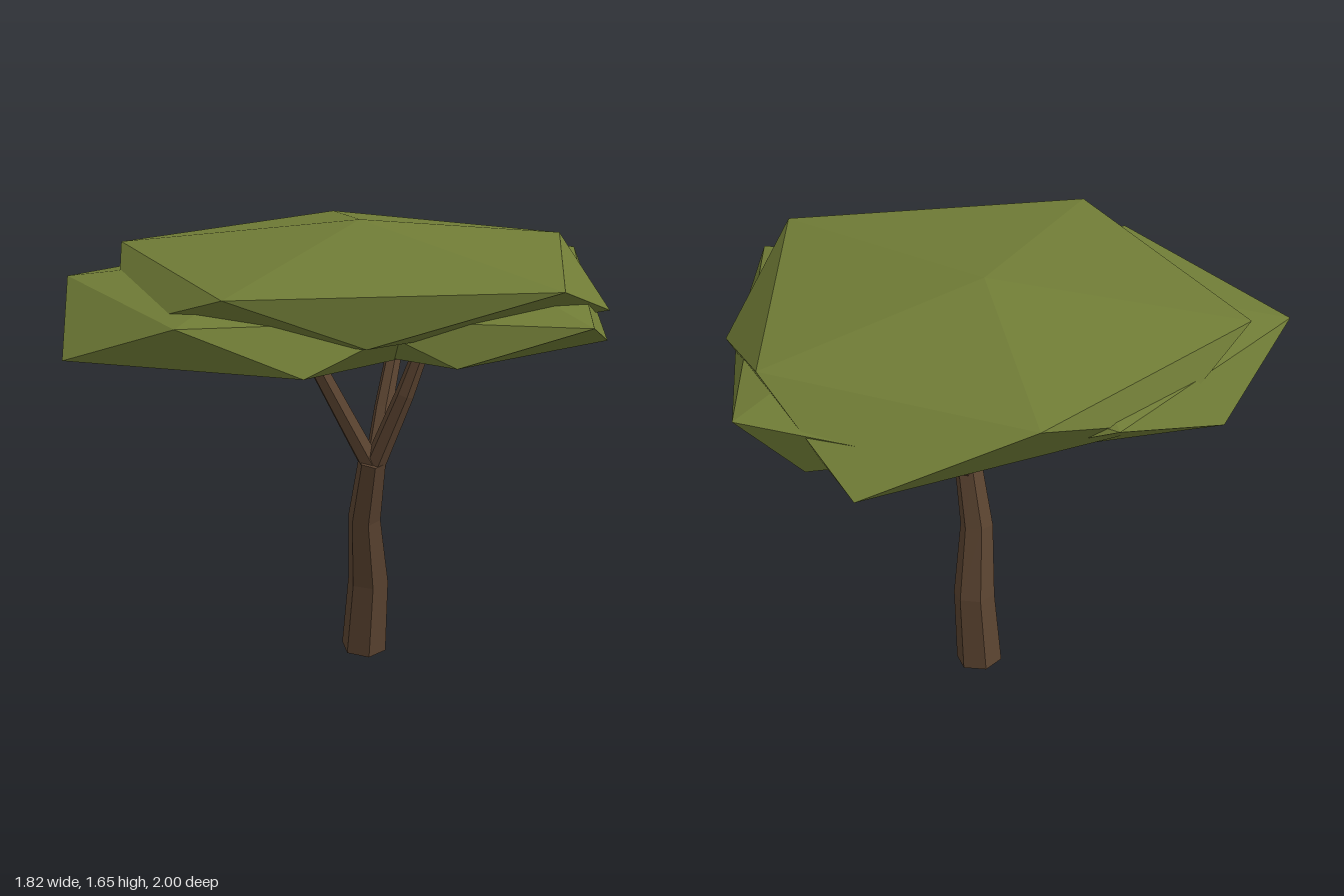
import * as THREE from 'three';

const bark = new THREE.MeshStandardMaterial({ name: 'bark', color: 0x5a4330, flatShading: true });
const foliage = new THREE.MeshStandardMaterial({ name: 'foliage', color: 0x707c36, flatShading: true });

// Six-sided limb: a cylinder whose rows follow stations [x, y, z, radius]
function limb(name, stations) {
  const n = stations.length - 1;
  const pts = stations.map((s) => new THREE.Vector3(s[0], s[1], s[2]));
  const up = new THREE.Vector3(0, 1, 0);
  const turns = pts.map((p, i) => {
    const dir = pts[Math.min(i + 1, n)].clone().sub(pts[Math.max(i - 1, 0)]).normalize();
    return new THREE.Quaternion().setFromUnitVectors(up, dir);
  });
  const geo = new THREE.CylinderGeometry(1, 1, 1, 6, n);
  const pos = geo.attributes.position;
  const v = new THREE.Vector3();
  for (let i = 0; i < pos.count; i++) {
    const row = Math.round((pos.getY(i) + 0.5) * n);
    v.set(pos.getX(i), 0, pos.getZ(i)).multiplyScalar(stations[row][3]);
    v.applyQuaternion(turns[row]).add(pts[row]);
    pos.setXYZ(i, v.x, v.y, v.z);
  }
  geo.computeVertexNormals();
  const mesh = new THREE.Mesh(geo, bark);
  mesh.name = name;
  return mesh;
}

// Flattened twenty-faced clump: top point, upper ring, lower ring, bottom point
function clump(name, top, upper, lower, bottom) {
  const corners = [];
  for (let i = 0; i < 5; i++) {
    const j = (i + 1) % 5;
    corners.push(top, upper[j], upper[i]);
    corners.push(upper[i], upper[j], lower[i]);
    corners.push(lower[i], upper[j], lower[j]);
    corners.push(bottom, lower[i], lower[j]);
  }
  const geo = new THREE.BufferGeometry();
  geo.setAttribute('position', new THREE.Float32BufferAttribute(corners.flat(), 3));
  geo.computeVertexNormals();
  const mesh = new THREE.Mesh(geo, foliage);
  mesh.name = name;
  return mesh;
}

export function createModel() {
  const tree = new THREE.Group();
  tree.name = 'tree';

  // Leaning trunk
  tree.add(limb('trunk', [
    [-0.108, 0.01, -0.065, 0.086],
    [-0.073, 0.3, -0.055, 0.077],
    [-0.035, 0.57, 0.0, 0.061],
    [0.032, 0.81, 0.025, 0.051],
  ]));

  // Three forking branches
  tree.add(limb('frontBranch', [
    [0.03, 0.78, 0.02, 0.04], [-0.04, 0.97, 0.09, 0.036], [-0.14, 1.26, 0.2, 0.03],
  ]));
  tree.add(limb('leftBranch', [
    [0.03, 0.78, 0.02, 0.04], [0.14, 1.07, -0.03, 0.034], [0.2, 1.29, -0.08, 0.026],
  ]));
  tree.add(limb('backBranch', [
    [0.03, 0.78, 0.01, 0.04], [-0.03, 0.97, -0.09, 0.034], [-0.1, 1.28, -0.25, 0.027],
  ]));

  // Overlapping leaf clumps
  tree.add(clump('upperFoliage', [-0.12, 1.65, -0.06],
    [[0.83, 1.545, -0.06], [0.15, 1.54, 0.79], [-0.83, 1.54, 0.46], [-0.75, 1.54, -0.51], [0.14, 1.535, -0.84]],
    [[0.43, 1.37, 0.43], [-0.4, 1.36, 0.8], [-0.85, 1.37, 0.0], [-0.41, 1.36, -0.96], [0.6, 1.36, -0.58]],
    [-0.12, 1.25, -0.06]));
  tree.add(clump('frontFoliage', [-0.2, 1.56, 0.24],
    [[0.48, 1.44, 0.24], [0.02, 1.44, 0.88], [-0.83, 1.45, 0.7], [-0.84, 1.45, -0.24], [0.03, 1.44, -0.42]],
    [[0.34, 1.29, 0.62], [-0.44, 1.27, 1.0], [-0.91, 1.28, 0.23], [-0.43, 1.28, -0.47], [0.37, 1.28, -0.17]],
    [-0.2, 1.16, 0.24]));
  tree.add(clump('backFoliage', [0.1, 1.56, -0.28],
    [[0.905, 1.43, -0.12], [0.3, 1.43, 0.35], [-0.42, 1.43, 0.15], [-0.5, 1.45, -0.75], [0.08, 1.45, -1.0]],
    [[0.59, 1.29, 0.18], [-0.12, 1.29, 0.35], [-0.58, 1.29, -0.25], [-0.12, 1.3, -0.89], [0.69, 1.29, -0.46]],
    [0.1, 1.2, -0.3]));

  return tree;
}
